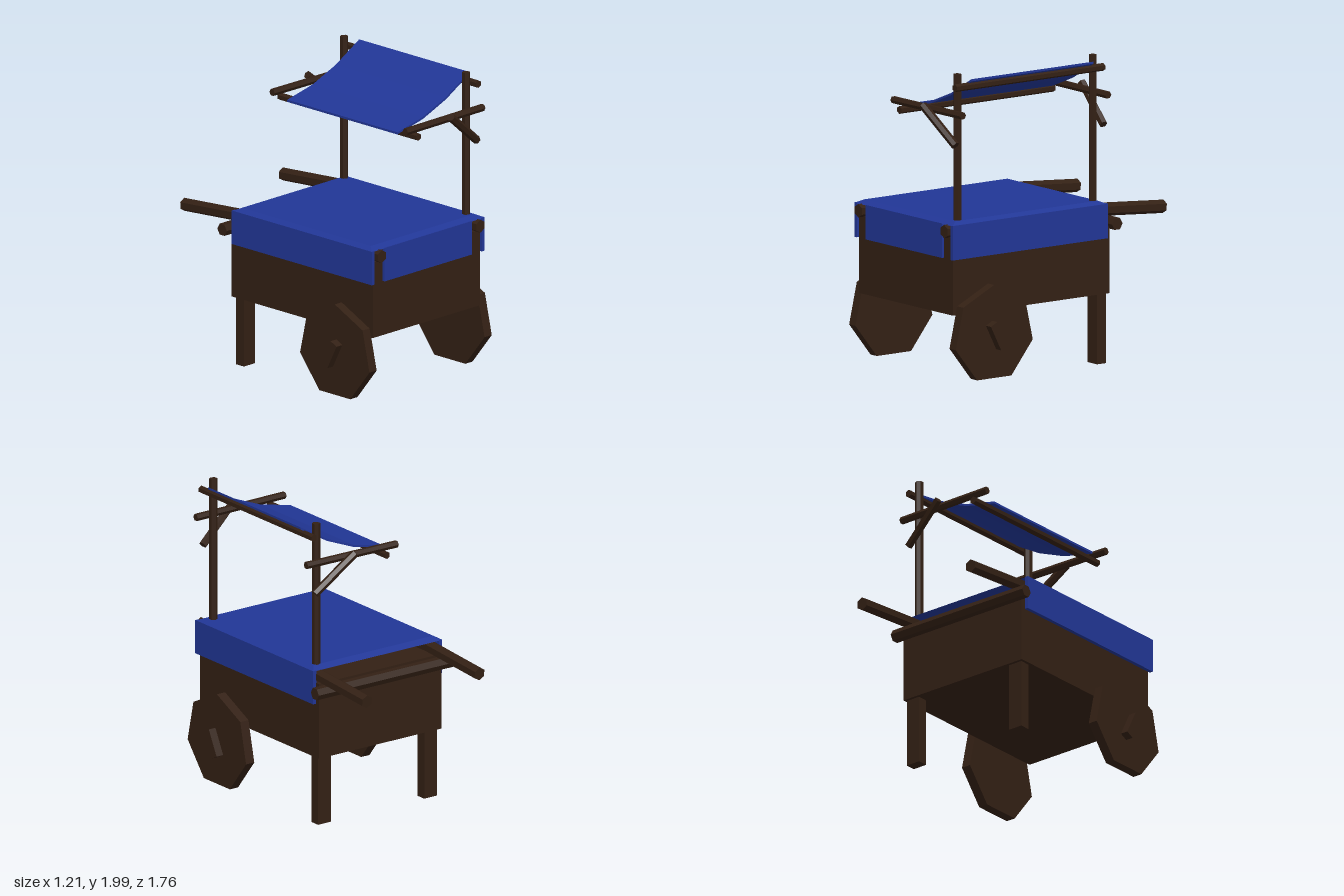
import * as THREE from 'three';

const wood = new THREE.MeshStandardMaterial({ color: 0x332014, flatShading: true });
const cloth = new THREE.MeshStandardMaterial({ color: 0x213696, flatShading: true });

export function createModel() {
  const cart = new THREE.Group();
  cart.name = 'marketCart';

  const add = (name, geometry, material = wood) => {
    const mesh = new THREE.Mesh(geometry, material);
    mesh.name = name;
    cart.add(mesh);
    return mesh;
  };

  // Box given by its min and max corners
  const box = (name, [x0, y0, z0], [x1, y1, z1], material) => {
    const mesh = add(name, new THREE.BoxGeometry(x1 - x0, y1 - y0, z1 - z0), material);
    mesh.position.set((x0 + x1) / 2, (y0 + y1) / 2, (z0 + z1) / 2);
    return mesh;
  };

  // Six-sided pole between two points
  const pole = (name, from, to, radius) => {
    const a = new THREE.Vector3(...from);
    const b = new THREE.Vector3(...to);
    const mesh = add(name, new THREE.CylinderGeometry(radius, radius, a.distanceTo(b), 6));
    mesh.position.copy(a).lerp(b, 0.5);
    mesh.quaternion.setFromUnitVectors(new THREE.Vector3(0, 1, 0), b.sub(a).normalize());
    return mesh;
  };

  // Body and its cross beam at the back
  box('body', [-0.49, 0.46, -0.42], [0.48, 0.96, 0.83]);
  pole('backBeam', [-0.55, 0.91, -0.445], [0.53, 0.91, -0.445], 0.042);

  for (const side of [-1, 1]) {
    // Back leg
    box('leg', [side * 0.42 - 0.05, 0.01, -0.4], [side * 0.42 + 0.05, 0.46, -0.33]);

    // Handle: level under the cloth, then sloping down behind
    const hx = side * 0.445 - 0.003;
    pole('handleRail', [hx, 1, 0.87], [hx, 1, -0.36], 0.043);
    pole('handleGrip', [hx, 1, -0.36], [hx, 0.96, -0.877], 0.043);

    // Seven-sided wheel with one corner on the ground
    const wheel = add('wheel', new THREE.CylinderGeometry(0.315, 0.315, 0.065, 7)
      .rotateY(Math.PI / 2).rotateZ(Math.PI / 2));
    wheel.position.set(side * 0.52, 0.322, 0.555);
    const corners = wheel.geometry.attributes.position;
    let lowest = 0;
    for (let i = 0; i < corners.count; i++) if (corners.getY(i) < corners.getY(lowest)) lowest = i;
    wheel.rotation.x = -Math.PI / 2 - Math.atan2(corners.getY(lowest), corners.getZ(lowest)) * -1;

    // Slanted axle block
    const hub = add('axleBlock', new THREE.BoxGeometry(0.06, 0.18, 0.058));
    hub.position.set(side * 0.575, 0.315, 0.555);
    hub.rotation.x = 0.47;
  }

  // Cloth top: a thin slab with its upper edges drawn in
  const top = new THREE.BoxGeometry(1.02, 0.022, 1.24);
  const p = top.attributes.position;
  for (let i = 0; i < p.count; i++) {
    if (p.getY(i) > 0) {
      p.setX(i, p.getX(i) - Math.sign(p.getX(i)) * 0.04);
      p.setZ(i, p.getZ(i) - Math.sign(p.getZ(i)) * 0.05);
    }
  }
  add('clothTop', top, cloth).position.set(-0.007, 1.05, 0.228);

  // Cloth hanging at the sides and between the handles at the front
  box('clothRightFlap', [-0.517, 0.82, -0.392], [-0.492, 1.042, 0.848], cloth);
  box('clothLeftFlap', [0.478, 0.82, -0.392], [0.503, 1.042, 0.848], cloth);
  box('clothFrontFlap', [-0.4, 0.82, 0.826], [0.39, 1.042, 0.848], cloth);

  // Canopy frame, mirrored about its own middle in z
  const mid = 0.215;
  for (const s of [-1, 1]) {
    const z = (d) => mid + s * d;
    pole('post', [0.43, 1.06, z(0.54)], [0.43, 2, z(0.54)], 0.027);
    pole('canopyArm', [-0.17, 1.75, z(0.59)], [0.54, 1.75, z(0.58)], 0.024);
    pole('brace', [0.195, 1.775, z(0.635)], [0.475, 1.55, z(0.59)], 0.027);
  }
  pole('upperRail', [0.48, 1.922, 0.815], [0.48, 1.922, -0.37], 0.025);
  pole('lowerRail', [-0.075, 1.7, 0.83], [-0.075, 1.7, -0.4], 0.025);

  // Sagging canopy: a thin bent strip extruded along z
  const sag = [[-0.14, 1.718], [0.09, 1.768], [0.3, 1.852], [0.51, 1.972]];
  const strip = new THREE.Shape([
    ...sag.map(([x, y]) => new THREE.Vector2(x, y - 0.014)),
    ...sag.map(([x, y]) => new THREE.Vector2(x, y)).reverse(),
  ]);
  add('canopy', new THREE.ExtrudeGeometry(strip, { depth: 0.975, bevelEnabled: false }), cloth)
    .position.z = -0.27;

  return cart;
}
